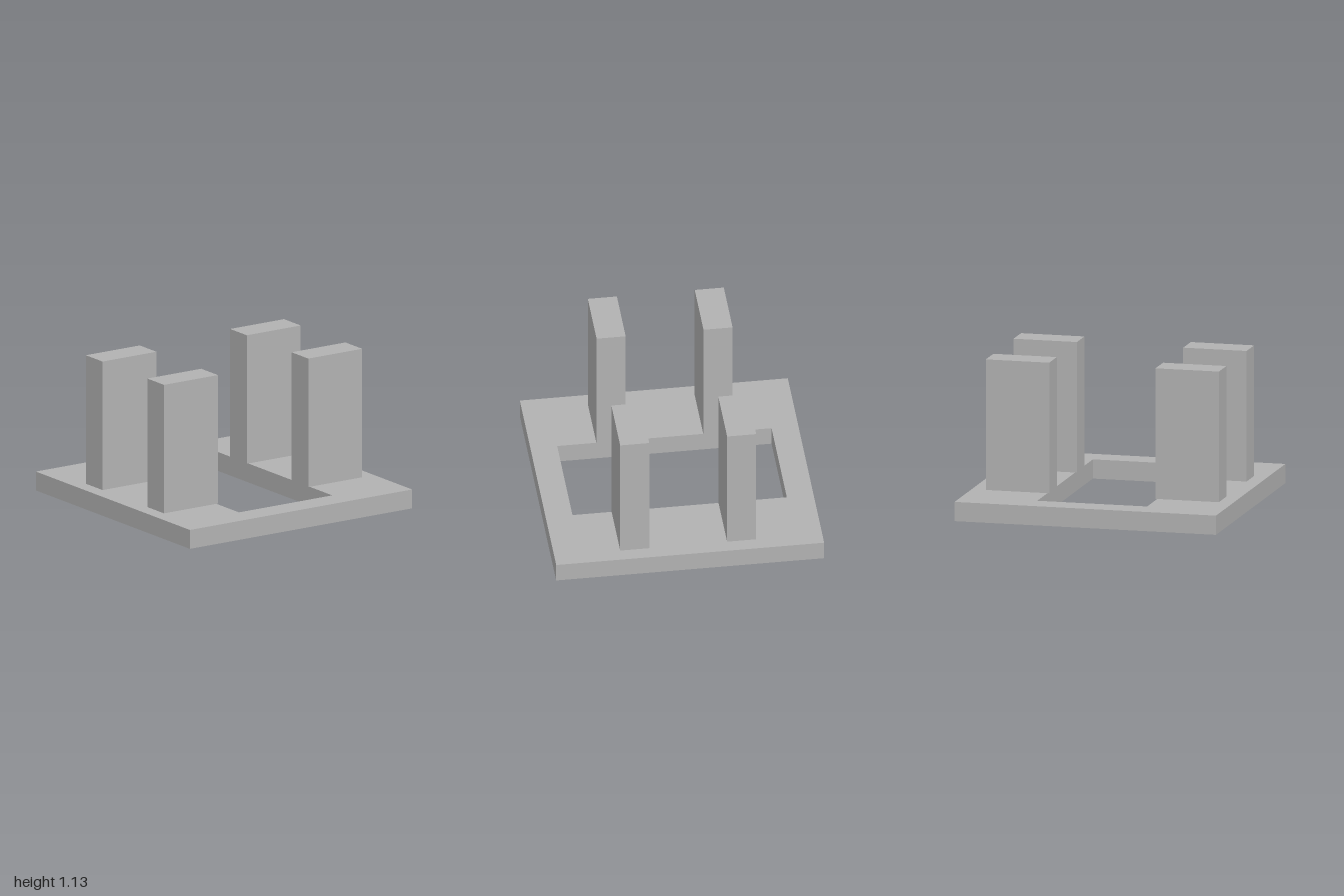
import * as THREE from 'three';

export function createModel() {
  const model = new THREE.Group();
  const grey = new THREE.MeshStandardMaterial({ color: 0xb2b2b2 });
  grey.name = 'plain grey';

  const baseHeight = 0.145, totalHeight = 1.13;

  // Square base plate with a rectangular opening
  const rectangle = (path, x, z) =>
    path.moveTo(-x, -z).lineTo(x, -z).lineTo(x, z).lineTo(-x, z).closePath();
  const outline = rectangle(new THREE.Shape(), 1, 1);
  outline.holes.push(rectangle(new THREE.Path(), 0.42, 0.8));
  const plate = new THREE.ExtrudeGeometry(outline, { depth: baseHeight, bevelEnabled: false });
  plate.rotateX(-Math.PI / 2);
  const base = new THREE.Mesh(plate, grey);
  base.name = 'basePlate';
  model.add(base);

  // Four upright blocks, slightly overhanging the opening
  const height = totalHeight - baseHeight;
  const block = new THREE.BoxGeometry(0.485, height, 0.217);
  for (const [side, x] of [['Left', 0.649], ['Right', -0.649]]) {
    for (const [end, z] of [['front', 0.399], ['back', -0.399]]) {
      const pillar = new THREE.Mesh(block, grey);
      pillar.name = `${end}${side}Pillar`;
      pillar.position.set(x, baseHeight + height / 2, z);
      model.add(pillar);
    }
  }
  return model;
}
